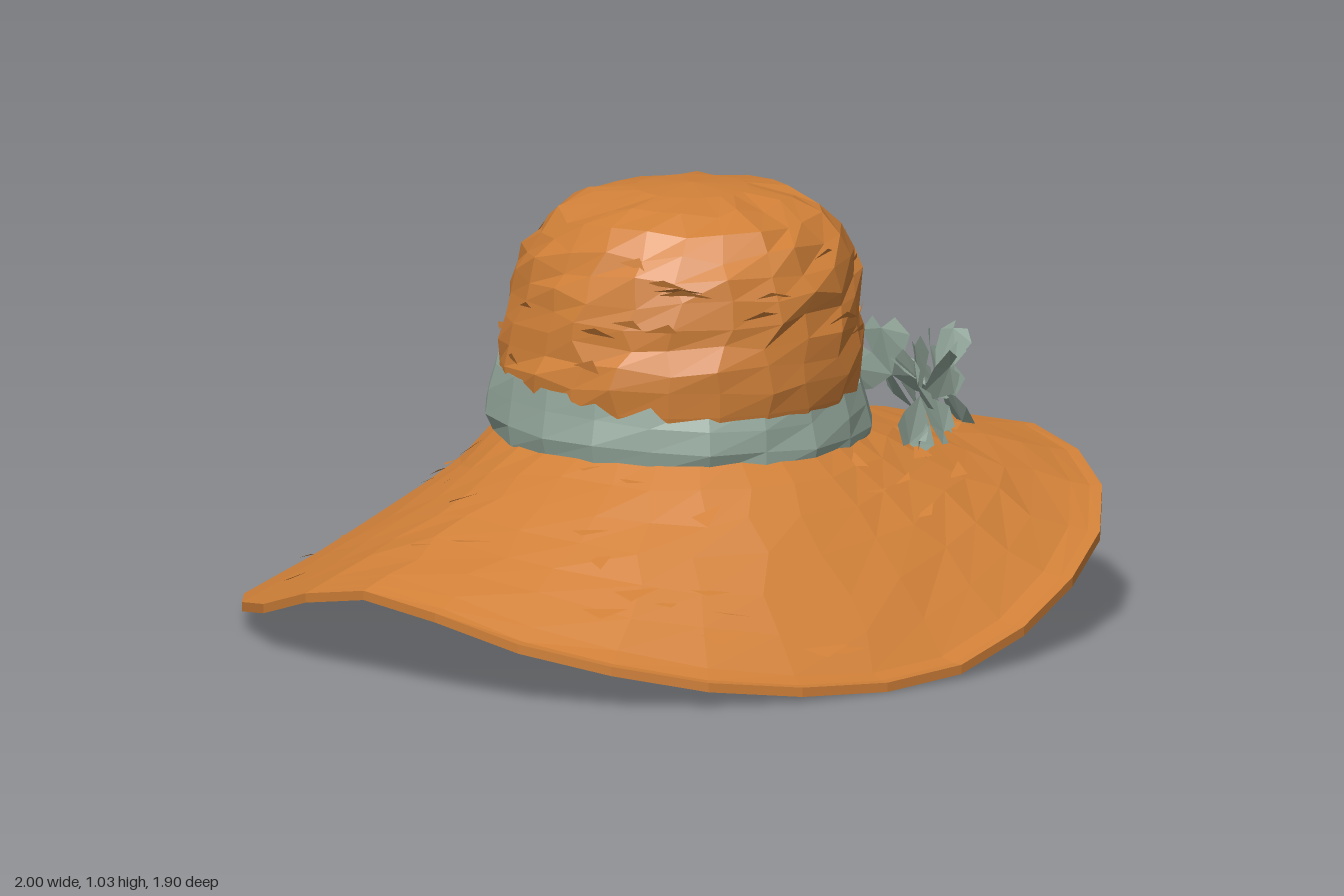
import * as THREE from 'three';

const straw = new THREE.MeshStandardMaterial({ color: 0xd08038, side: THREE.DoubleSide });
straw.name = 'straw orange';
const ribbon = new THREE.MeshStandardMaterial({ color: 0x94a89c, side: THREE.DoubleSide });
ribbon.name = 'sage ribbon';

let seed = 7;
const rand = (lo = 0, hi = 1) => {
  seed = (seed * 16807) % 2147483647;
  return lo + (hi - lo) * seed / 2147483647;
};

// faceted geometry from points and triangle indices
function faceted(points, index) {
  const g = new THREE.BufferGeometry().setFromPoints(points);
  g.setIndex(index);
  const flat = g.toNonIndexed();
  flat.computeVertexNormals();
  return flat;
}

function addMesh(parent, name, geometry, material) {
  const m = new THREE.Mesh(geometry, material);
  m.name = name;
  parent.add(m);
  return m;
}

// sweep a cross-section of `rows` points around the y axis
function sweep(segs, rows, closed, point) {
  const pts = [], idx = [];
  for (let i = 0; i < segs; i++)
    for (let j = 0; j < rows; j++) pts.push(point(i / segs * Math.PI * 2, j));
  for (let i = 0; i < segs; i++) {
    const n = (i + 1) % segs;
    for (let j = 0; j < (closed ? rows : rows - 1); j++) {
      const k = (j + 1) % rows;
      const a = i * rows + j, b = n * rows + j, c = n * rows + k, d = i * rows + k;
      idx.push(a, b, c, a, c, d);
    }
  }
  return faceted(pts, idx);
}

// brim edge heights every 30 degrees, from the front towards +x
const EDGE = [0.022, 0.17, 0.30, 0.315, 0.10, 0.02, 0.016, 0.016, 0.08, 0.205, 0.115, 0.03];
function edgeHeight(a) {
  const u = a / (Math.PI * 2) * 12, i = Math.floor(u), f = u - i;
  const p = k => EDGE[(i + k + 24) % 12];
  const m1 = (p(1) - p(-1)) / 2, m2 = (p(2) - p(0)) / 2, f2 = f * f, f3 = f2 * f;
  return Math.max(0.011, (2 * f3 - 3 * f2 + 1) * p(0) + (f3 - 2 * f2 + f) * m1
    + (3 * f2 - 2 * f3) * p(1) + (f3 - f2) * m2);
}

// brim surface: t = 0 at the crown, 1 at the outer edge; the front drops steeply to a flat lip
function brimPoint(a, t, lift) {
  const s = Math.sin(a), c = Math.cos(a), front = Math.max(0, c);
  const h = Math.pow(Math.min(1, t * (1 + 0.13 * front)), 0.8 + 0.33 * front);
  const bulge = 1 + (c > 0 ? 0.03 : 0.015) * Math.sin(2 * a) ** 2;
  return new THREE.Vector3(
    THREE.MathUtils.lerp(0.02 + 0.415 * s, s * bulge, t),
    THREE.MathUtils.lerp(0.452, edgeHeight(a), h) + lift,
    THREE.MathUtils.lerp(0.01 + 0.42 * c, 0.952 * c * bulge, t));
}

// crown outline: radius, height
const CROWN = [[0.40, 0.48], [0.415, 0.56], [0.42, 0.62], [0.413, 0.67], [0.407, 0.72], [0.402, 0.77],
  [0.392, 0.82], [0.375, 0.87], [0.345, 0.92], [0.30, 0.965], [0.23, 1.0], [0.13, 1.02], [0.0, 1.03]];

function crownPoint(a, r, y) {
  const lean = (y - 0.6) * 0.05;
  return new THREE.Vector3(0.014 + lean + r * Math.sin(a), y, 0.02 + lean + r * 1.03 * Math.cos(a));
}

// loose straw slivers lying along a surface function f(angle, v, lift)
function slivers(count, spread, f) {
  const pts = [], idx = [];
  for (let n = 0; n < count; n++) {
    const a = rand(0, Math.PI * 2 - spread), v = rand(0.06, 0.84), k = pts.length;
    pts.push(f(a, v, -0.004), f(a + rand(0.5, 1) * spread, v + rand(-0.04, 0.04), 0.004),
      f(a + spread * 0.4, v + rand(0.03, 0.07), 0.01));
    idx.push(k, k + 1, k + 2);
  }
  return faceted(pts, idx);
}

// broad folded petal with a ragged tip, pointing along +y
function petalGeometry(r, width) {
  const w = width * r, j = () => rand(-0.07, 0.07) * r;
  const pts = [[0, 0, 0], [-w * 0.7, r * 0.42, r * 0.06], [-w, r * 0.78 + j(), r * 0.14], [-w * 0.5, r + j(), r * 0.12 + j()],
    [0, r * 0.9, r * 0.02], [w * 0.45, r * 1.02 + j(), r * 0.14 + j()], [w, r * 0.76 + j(), r * 0.12], [w * 0.7, r * 0.42, r * 0.05]];
  const idx = [];
  for (const [b, c] of [[1, 0], [2, 1], [3, 2], [0, 7], [7, 6], [6, 5]]) idx.push(4, b, c);
  return faceted(pts.map(p => new THREE.Vector3(...p)), idx);
}

// five broad, unevenly opened petals turned towards `facing`
function flower(position, facing, r) {
  const g = new THREE.Group();
  g.name = 'flower';
  for (let i = 0; i < 5; i++) {
    const p = addMesh(g, 'petal', petalGeometry(r, 0.5), ribbon);
    p.rotation.order = 'ZXY';
    p.rotation.set(rand(-0.3, 0.5), rand(-0.45, 0.45), i / 5 * Math.PI * 2 + rand(-0.15, 0.15));
  }
  g.position.set(...position);
  g.lookAt(position[0] + facing[0], position[1] + facing[1], position[2] + facing[2]);
  return g;
}

export function createModel() {
  const hat = new THREE.Group();
  hat.name = 'sunHat';

  // brim: underside outwards, then top inwards
  const T = [0, 0.14, 0.28, 0.43, 0.58, 0.72, 0.87, 0.95, 1], n = T.length;
  addMesh(hat, 'brim', sweep(28, n * 2, true, (a, j) => {
    const top = j >= n, t = T[top ? 2 * n - 1 - j : j];
    const inner = t > 0 && t < 0.85;
    return brimPoint(a + (inner ? rand(-0.04, 0.04) : 0), t + (inner ? rand(-0.02, 0.02) : 0),
      (top ? 0.011 : -0.011) + (inner ? rand(-0.004, 0.004) : 0));
  }), straw);
  addMesh(hat, 'brimStrawTop', slivers(45, 0.16, (a, v, up) => brimPoint(a, v, 0.011 + up)), straw);
  addMesh(hat, 'brimStrawUnder', slivers(45, 0.16, (a, v, up) => brimPoint(a, v, -0.011 - up)), straw);

  // crown
  addMesh(hat, 'crown', sweep(22, CROWN.length, false, (a, j) => {
    const [r, y] = CROWN[j], soft = j > 1 && j < CROWN.length - 2;
    return crownPoint(a + (soft ? rand(-0.06, 0.06) : 0), r + (soft ? rand(-0.01, 0.01) : 0), y + (soft ? rand(-0.012, 0.012) : 0));
  }), straw);
  addMesh(hat, 'crownStraw', slivers(36, 0.35, (a, v, up) => {
    const u = 2 + v * 7, i = Math.floor(u), f = u - i;
    const mix = k => THREE.MathUtils.lerp(CROWN[i][k], CROWN[i + 1][k], f);
    return crownPoint(a, mix(0) + up, mix(1));
  }), straw);

  // ribbon band, slightly lower at the front and the flower side
  const BAND = [[0.435, 0.435], [0.446, 0.48], [0.436, 0.535], [0.424, 0.59], [0.40, 0.585], [0.41, 0.44]];
  addMesh(hat, 'band', sweep(20, BAND.length, true, (a, j) => {
    const [r, y] = BAND[j], rr = r + (j < 4 ? rand(-0.006, 0.006) : 0);
    const tilt = 0.015 * Math.cos(a) + 0.012 * Math.sin(a);
    return new THREE.Vector3(0.02 + rr * Math.sin(a), y - tilt + rand(-0.006, 0.006), 0.01 + rr * 1.01 * Math.cos(a));
  }), ribbon);

  // flower spray on the left side
  const spray = new THREE.Group();
  spray.name = 'flowerSpray';
  hat.add(spray);
  spray.add(flower([0.42, 0.52, 0.4], [0.4, 0.12, 0.9], 0.13));
  spray.add(flower([0.59, 0.52, 0.28], [0.92, 0.15, 0.45], 0.135));
  spray.add(flower([0.67, 0.48, 0.06], [0.85, 0.5, 0.05], 0.13));

  // orange stamens of the middle flower
  for (const [x, y, z] of [[0.585, 0.51, 0.32], [0.62, 0.53, 0.28], [0.65, 0.48, 0.265]]) {
    const stamen = addMesh(spray, 'stamen', new THREE.OctahedronGeometry(0.022), straw);
    stamen.position.set(x, y, z);
  }

  // leaves between and below the flowers: base, tip
  const LEAVES = [[[0.47, 0.47, 0.38], [0.57, 0.42, 0.32]], [[0.5, 0.5, 0.36], [0.62, 0.5, 0.24]],
    [[0.62, 0.46, 0.24], [0.72, 0.40, 0.16]], [[0.66, 0.47, 0.1], [0.78, 0.38, 0.03]],
    [[0.64, 0.48, 0.2], [0.66, 0.52, 0.08]], [[0.42, 0.46, 0.42], [0.35, 0.43, 0.46]]];
  for (const [from, to] of LEAVES) {
    const a = new THREE.Vector3(...from), d = new THREE.Vector3(...to).sub(a);
    const leaf = addMesh(spray, 'leaf', petalGeometry(d.length(), 0.32), ribbon);
    leaf.position.copy(a);
    leaf.quaternion.setFromUnitVectors(new THREE.Vector3(0, 1, 0), d.normalize());
  }
  return hat;
}
